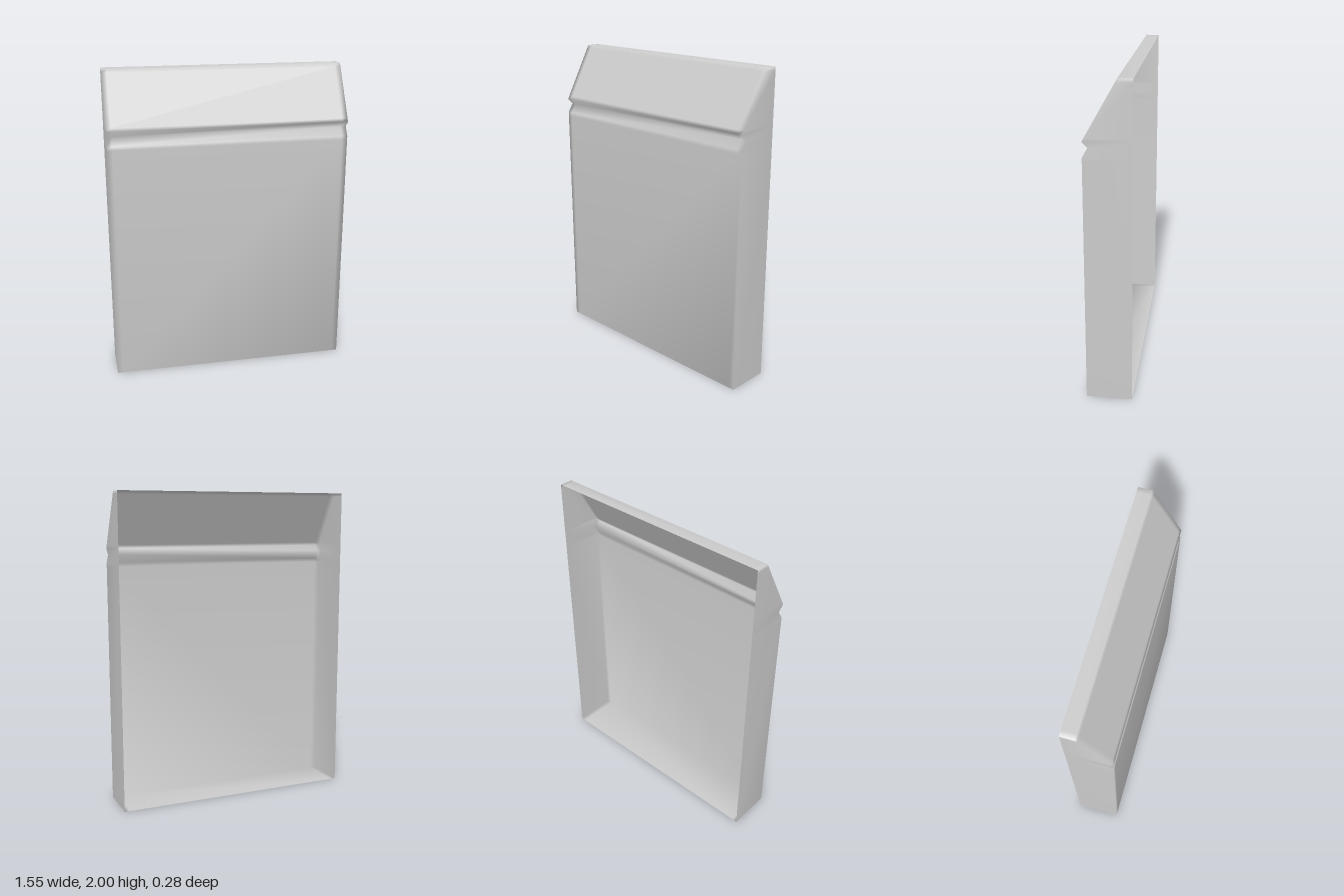
import * as THREE from 'three';
import { mergeVertices } from 'three/addons/utils/BufferGeometryUtils.js';

const HALF = 0.775, BACK = -0.142, FRONT = 0.142;

// Side section as [y, z], from the back of the base, up the front, to the back of the top
const section = [
  [0, BACK], [0, FRONT],
  [1.53, FRONT], [1.555, FRONT], [1.61, 0.105], [1.648, FRONT], // groove
  [1.668, 0.131], [1.98, -0.044], [2, -0.055],                  // sloped top
  [2, BACK],
];
const columns = [-HALF, -HALF + 0.035, HALF - 0.035, HALF];

// Open-backed shell: the section swept across x, closed by a wall at each end
function shellGeometry() {
  const positions = [];
  const quad = (a, b, c, d) => positions.push(...a, ...b, ...c, ...a, ...c, ...d);
  const point = (x, i) => [x, ...section[i]];
  const backPoint = (x, i) => [x, section[i][0], BACK];

  // Base, front, groove, slope and top
  for (let i = 0; i < section.length - 1; i++) {
    for (let j = 0; j < columns.length - 1; j++) {
      const l = columns[j], r = columns[j + 1];
      quad(point(l, i), point(r, i), point(r, i + 1), point(l, i + 1));
    }
  }
  // End walls
  for (let i = 1; i < section.length - 2; i++) {
    quad(point(HALF, i), backPoint(HALF, i), backPoint(HALF, i + 1), point(HALF, i + 1));
    quad(backPoint(-HALF, i), point(-HALF, i), point(-HALF, i + 1), backPoint(-HALF, i + 1));
  }

  // Weld the corners so the shading rolls softly over the edges
  const geometry = new THREE.BufferGeometry();
  geometry.setAttribute('position', new THREE.Float32BufferAttribute(positions, 3));
  const welded = mergeVertices(geometry, 1e-4);
  welded.computeVertexNormals();
  return welded;
}

export function createModel() {
  const group = new THREE.Group();
  group.name = 'groovedPanel';
  const material = new THREE.MeshStandardMaterial({ color: 0xcccccc, side: THREE.DoubleSide });
  const shell = new THREE.Mesh(shellGeometry(), material);
  shell.name = 'panelShell';
  group.add(shell);
  return group;
}
